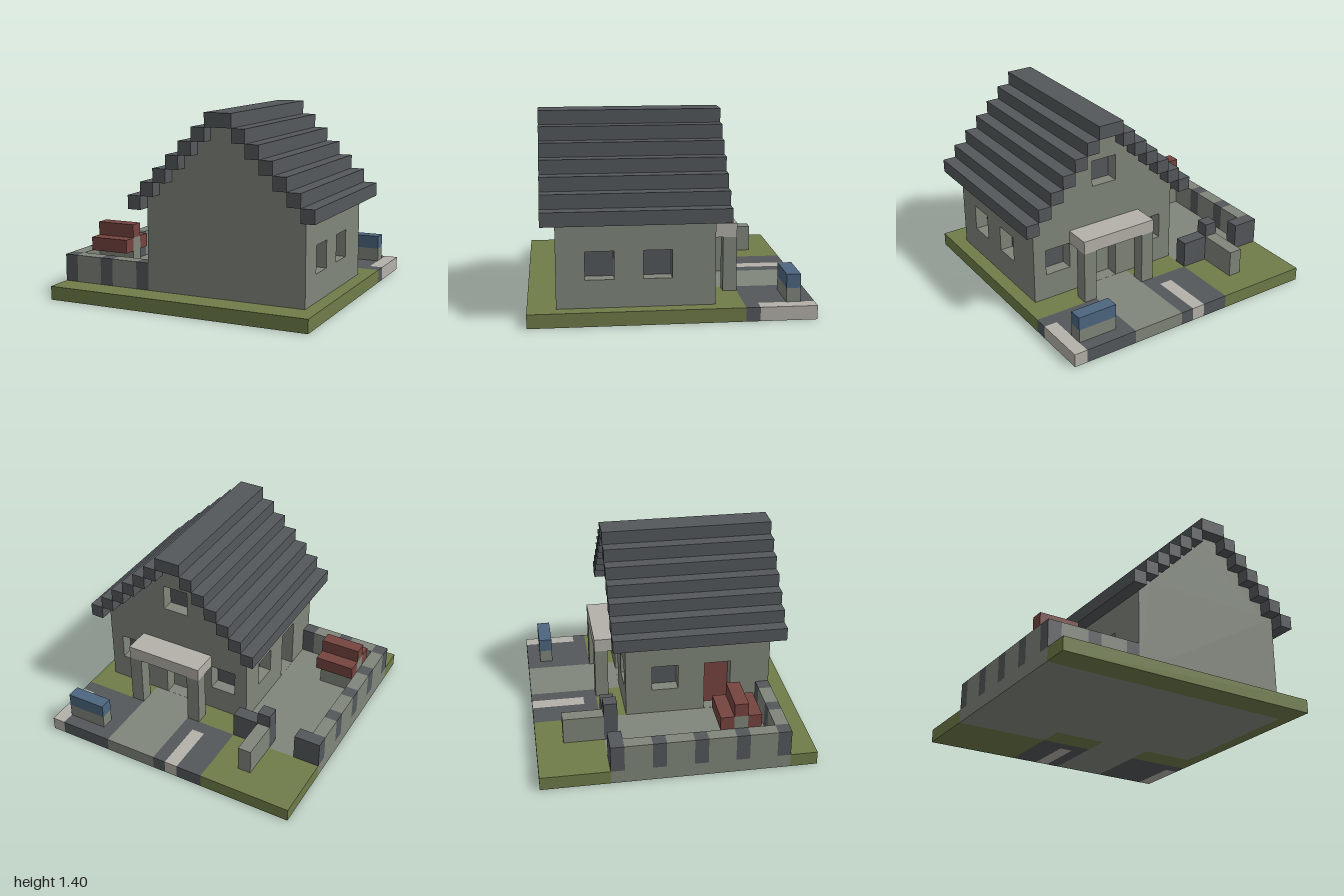
import * as THREE from 'three';

const mat = (name, color) => {
  const m = new THREE.MeshStandardMaterial({ color });
  m.name = name;
  return m;
};

export function createModel() {
  const root = new THREE.Group();
  const grass = mat('grass', 0x6f7c49);
  const stone = mat('stone', 0x80867b);
  const slate = mat('slate', 0x54585b);
  const pale = mat('paleStone', 0xb3b1a8);
  const red = mat('redPaint', 0x75443f);
  const blue = mat('bluePaint', 0x4d6680);

  const group = (name) => {
    const g = new THREE.Group();
    g.name = name;
    root.add(g);
    return g;
  };
  // Box given by its minimum and maximum on each axis
  const box = (parent, name, m, x0, x1, y0, y1, z0, z1) => {
    const mesh = new THREE.Mesh(new THREE.BoxGeometry(x1 - x0, y1 - y0, z1 - z0), m);
    mesh.position.set((x0 + x1) / 2, (y0 + y1) / 2, (z0 + z1) / 2);
    mesh.name = name;
    parent.add(mesh);
    return mesh;
  };
  const rectPath = (C, x0, x1, y0, y1) => {
    const p = new C();
    p.moveTo(x0, y0);
    p.lineTo(x1, y0);
    p.lineTo(x1, y1);
    p.lineTo(x0, y1);
    p.closePath();
    return p;
  };
  const extrude = (shape, depth) => new THREE.ExtrudeGeometry(shape, { depth, bevelEnabled: false });

  // Ground slab in patches: x0, x1, z0, z1
  const ground = group('ground');
  const patches = (name, m, list) =>
    list.forEach(([x0, x1, z0, z1]) => box(ground, name, m, x0, x1, 0, 0.1, z0, z1));
  patches('lawn', grass, [
    [-1, -0.3, -1, -0.5], [-1, 1, 0.8, 1], [0.9, 1, -0.5, 0.8],
    [-0.3, 0.1, -0.5, -0.3], [0.5, 0.9, -0.5, -0.3],
  ]);
  patches('paving', stone, [[0.1, 0.5, -1, -0.3], [-1, -0.3, -0.5, 0.8], [-0.3, 0.9, -0.3, 0.8]]);
  patches('road', slate, [
    [-0.3, -0.1, -1, -0.5], [-0.1, 0, -0.6, -0.5], [0, 0.1, -1, -0.5],
    [0.5, 0.9, -1, -0.5], [0.9, 1, -0.6, -0.5],
  ]);
  patches('roadMarking', pale, [[-0.1, 0, -1, -0.6], [0.9, 1, -1, -0.6]]);

  // House: stepped gable outline, shared by end walls and the upper core
  const house = group('house');
  const mid = 0.3;
  const gable = (bottom) => {
    const s = new THREE.Shape();
    s.moveTo(mid - 0.6, bottom);
    s.lineTo(mid + 0.6, bottom);
    for (let i = 0; i < 6; i++) {
      s.lineTo(mid + 0.6 - i * 0.1, 0.8 + i * 0.1);
      if (i < 5) s.lineTo(mid + 0.5 - i * 0.1, 0.8 + i * 0.1);
    }
    for (let i = 5; i >= 0; i--) {
      s.lineTo(mid - 0.6 + i * 0.1, 0.8 + i * 0.1);
      if (i > 0) s.lineTo(mid - 0.6 + i * 0.1, 0.7 + i * 0.1);
    }
    s.closePath();
    return s;
  };
  const gableWall = (name, shape, z, depth) => {
    const mesh = new THREE.Mesh(extrude(shape, depth), stone);
    mesh.position.z = z;
    mesh.name = name;
    house.add(mesh);
  };
  box(house, 'core', stone, -0.2, 0.8, 0.1, 0.7, -0.2, 0.7);
  gableWall('atticCore', gable(0.7), -0.2, 0.9);
  gableWall('frontWall', gable(0.1), 0.7, 0.1);

  // Back wall with recessed windows and doorway
  const backWall = gable(0.1);
  for (const [x, y] of [[-0.2, 0.3], [0.6, 0.3], [0.2, 0.9]]) {
    backWall.holes.push(rectPath(THREE.Path, x, x + 0.2, y, y + 0.2));
    box(house, 'backWindow', slate, x, x + 0.2, y, y + 0.2, -0.205, -0.198);
  }
  backWall.holes.push(rectPath(THREE.Path, 0.2, 0.4, 0.101, 0.5));
  gableWall('backWall', backWall, -0.3, 0.1);

  // Side walls: openings as z0, y0, y1, pane material
  const sideWall = (name, outerX, dir, openings) => {
    const s = rectPath(THREE.Shape, -0.2, 0.7, 0.1, 0.7);
    const inner = outerX - dir * 0.1;
    for (const [z, y0, y1, m] of openings) {
      s.holes.push(rectPath(THREE.Path, z, z + 0.2, y0, y1));
      box(house, m === red ? 'sideDoor' : 'sideWindow', m,
        inner - 0.004, inner + 0.004, y0, y1, z, z + 0.2);
    }
    const geo = extrude(s, 0.1);
    geo.rotateY(-Math.PI / 2);
    const mesh = new THREE.Mesh(geo, stone);
    mesh.position.x = Math.max(outerX, inner);
    mesh.name = name;
    house.add(mesh);
  };
  sideWall('leftWall', 0.9, 1, [[0, 0.3, 0.5, slate], [0.4, 0.3, 0.5, slate]]);
  sideWall('rightWall', -0.3, -1, [[-0.1, 0.3, 0.5, slate], [0.3, 0.101, 0.5, red]]);

  // Stepped roof
  const roof = group('roof');
  for (let i = 0; i < 6; i++) {
    for (const s of [-1, 1]) {
      const c = mid + s * (0.65 - i * 0.1);
      box(roof, 'roofStep', slate, c - 0.05, c + 0.05, 0.7 + i * 0.1, 0.8 + i * 0.1, -0.4, 0.9);
    }
  }
  box(roof, 'ridge', slate, 0.2, 0.4, 1.3, 1.4, -0.4, 0.9);

  // Porch
  const porch = group('porch');
  box(porch, 'canopy', pale, 0, 0.6, 0.5, 0.6, -0.5, -0.3);
  for (const x of [0, 0.5]) box(porch, 'porchPost', stone, x, x + 0.1, 0.1, 0.5, -0.5, -0.4);

  // Yard wall: dark piers every third block, pale stone between
  const yard = group('yardWall');
  for (let i = 0; i < 5; i++) {
    const z = -0.5 + i * 0.3;
    box(yard, 'pier', slate, -1, -0.9, 0.1, 0.3, z, z + 0.1);
    if (i < 4) box(yard, 'wallPanel', stone, -1, -0.9, 0.1, 0.3, z + 0.1, z + 0.3);
  }
  for (const x of [-0.9, -0.6]) {
    box(yard, 'wallPanel', stone, x, x + 0.2, 0.1, 0.3, 0.7, 0.8);
    box(yard, 'pier', slate, x + 0.2, x + 0.3, 0.1, 0.3, 0.7, 0.8);
  }
  box(yard, 'gateWall', slate, -0.9, -0.8, 0.1, 0.3, -0.5, -0.4);
  box(yard, 'gateWall', slate, -0.5, -0.3, 0.1, 0.3, -0.5, -0.4);
  box(yard, 'gatePost', slate, -0.6, -0.5, 0.1, 0.4, -0.5, -0.4);
  box(yard, 'openGate', stone, -0.6, -0.5, 0.1, 0.3, -0.8, -0.5);

  // Small kennel with a stepped roof
  const kennel = group('kennel');
  box(kennel, 'kennelBody', stone, -0.9, -0.6, 0.1, 0.4, 0.4, 0.5);
  box(kennel, 'kennelEave', red, -0.9, -0.6, 0.3, 0.4, 0.3, 0.4);
  box(kennel, 'kennelEave', red, -0.9, -0.6, 0.3, 0.4, 0.5, 0.6);
  box(kennel, 'kennelRidge', red, -0.9, -0.6, 0.4, 0.5, 0.4, 0.5);

  // Roadside bench
  const bench = group('bench');
  box(bench, 'benchBase', stone, 0.6, 0.9, 0.1, 0.2, -0.9, -0.8);
  box(bench, 'benchTop', blue, 0.6, 0.9, 0.2, 0.3, -0.9, -0.8);

  return root;
}
